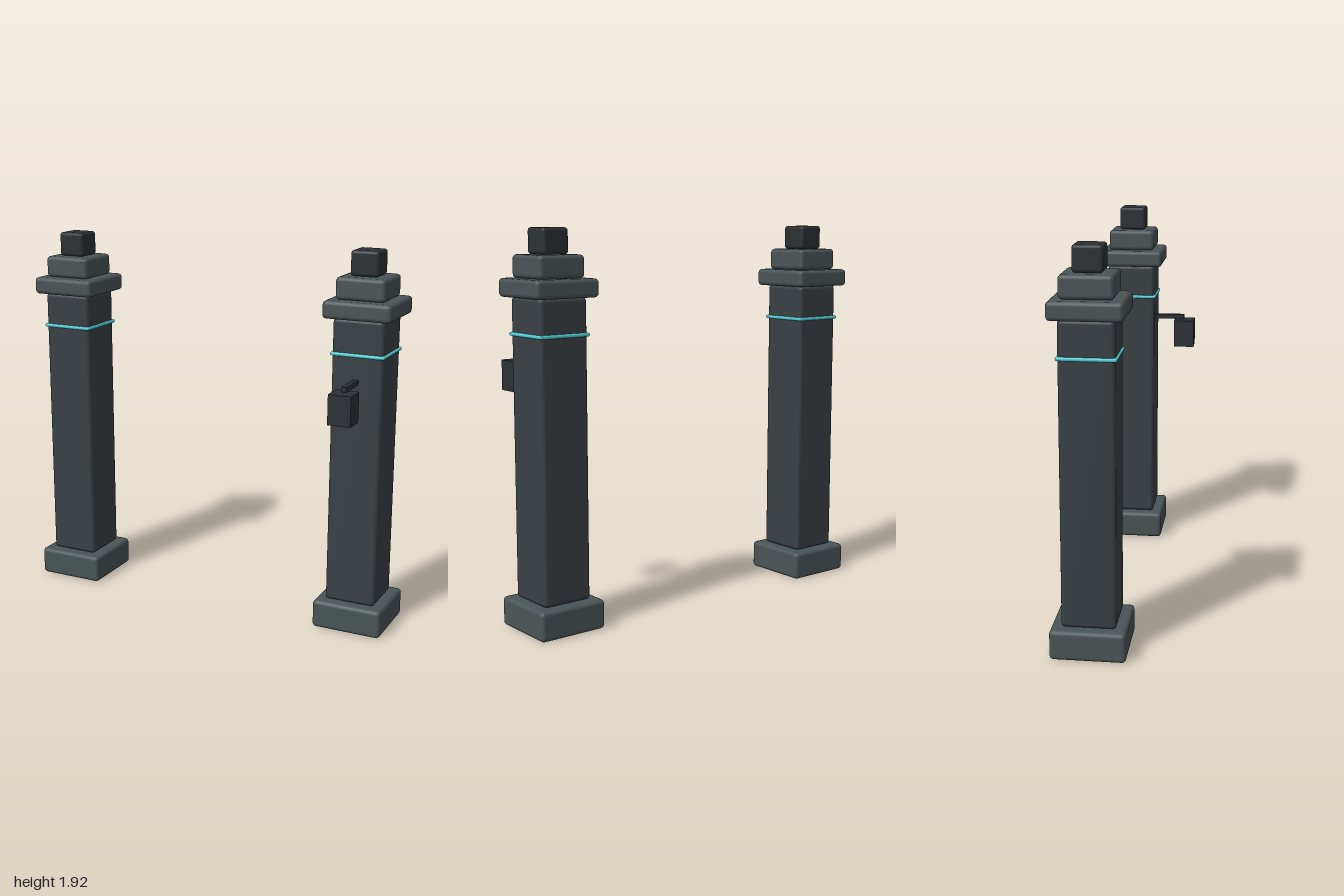
import * as THREE from 'three';
import { RoundedBoxGeometry } from 'three/addons/geometries/RoundedBoxGeometry.js';

const material = (color) => new THREE.MeshStandardMaterial({ color });

export function createModel() {
  const stone = material(0x4a5456);
  const shaft = material(0x394044);
  const dark = material(0x2b3034);
  const glow = material(0x55d0d8);

  // Stacked blocks of one pillar: name, width, bottom, top, edge radius, material
  const blocks = [
    ['base', 0.36, 0, 0.145, 0.02, stone],
    ['shaft', 0.26, 0.145, 1.6, 0.02, shaft],
    ['glowBand', 0.276, 1.416, 1.434, 0.008, glow],
    ['cornice', 0.345, 1.598, 1.686, 0.02, stone],
    ['upperStep', 0.25, 1.686, 1.796, 0.02, stone],
    ['finial', 0.142, 1.796, 1.92, 0.016, dark],
  ];

  const makePillar = (name, x) => {
    const pillar = new THREE.Group();
    pillar.name = name;
    pillar.position.set(x, 0, -0.084);
    for (const [part, width, bottom, top, radius, mat] of blocks) {
      const mesh = new THREE.Mesh(new RoundedBoxGeometry(width, top - bottom, width, 2, radius), mat);
      mesh.name = part;
      mesh.position.y = (bottom + top) / 2;
      pillar.add(mesh);
    }
    return pillar;
  };

  const model = new THREE.Group();
  model.name = 'gatePillars';
  const left = makePillar('leftPillar', 0.82);
  model.add(makePillar('rightPillar', -0.82), left);

  // Lantern hanging in front of the left pillar, relative to the pillar's axis
  const lantern = new THREE.Group();
  lantern.name = 'lantern';
  const addBox = (name, w, h, d, y, z) => {
    const mesh = new THREE.Mesh(new THREE.BoxGeometry(w, h, d), dark);
    mesh.name = name;
    mesh.position.set(-0.003, y, z);
    lantern.add(mesh);
  };
  addBox('lanternArm', 0.027, 0.025, 0.18, 1.294, 0.202);
  addBox('lanternBox', 0.115, 0.15, 0.112, 1.203, 0.294);
  left.add(lantern);

  return model;
}
